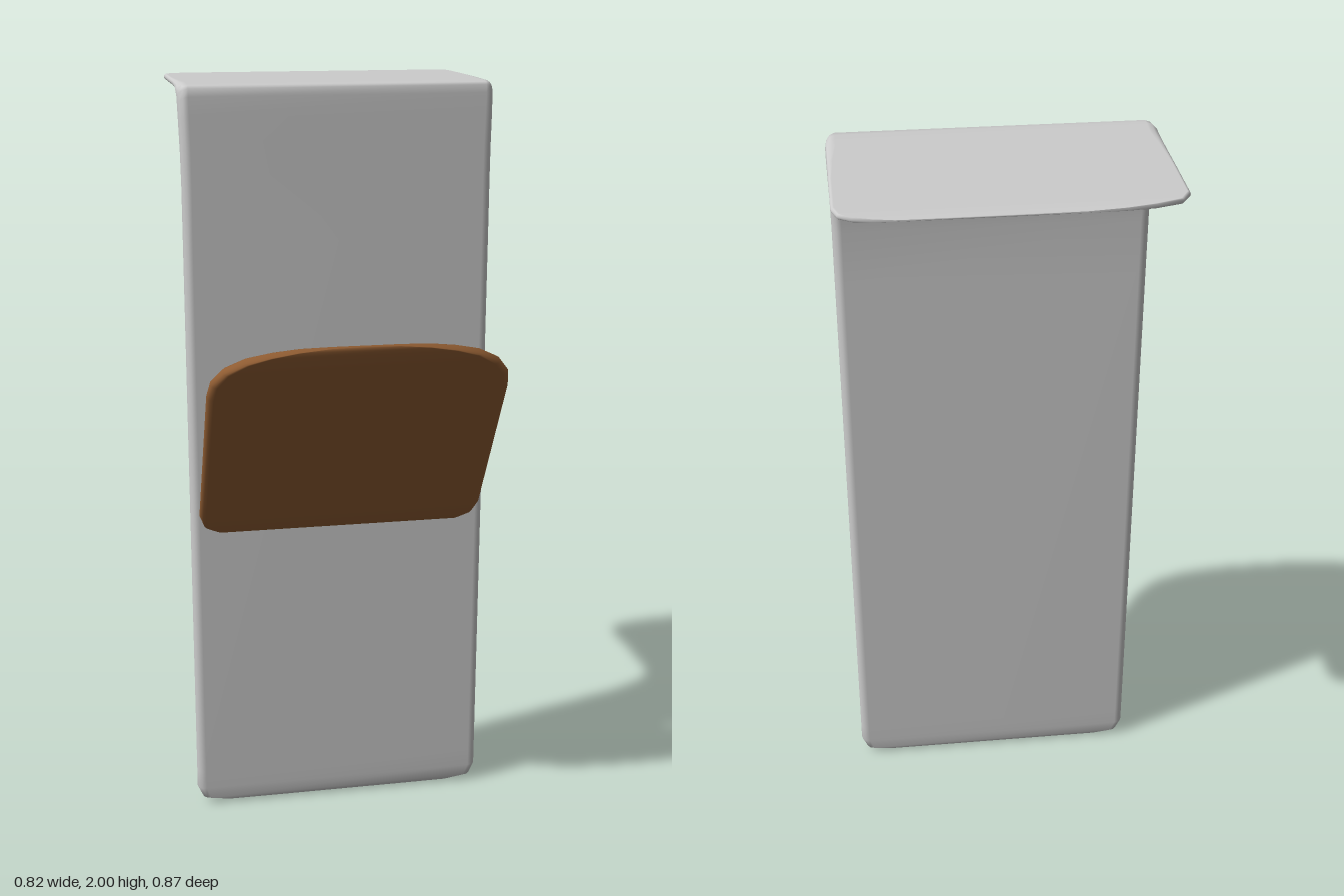
import * as THREE from 'three';

const SIDE = 6; // segments around each rounded long edge

// Lofts a slab along stations [zFront, yFront, zBack, yBack, xMin, xMax].
function loftSlab(stations) {
  const pos = [], index = [], n = 2 * (SIDE + 1);
  for (const [zf, yf, zb, yb, x0, x1] of stations) {
    const r = Math.min(Math.hypot(zf - zb, yf - yb) / 2, 0.025);
    for (const s of [1, -1]) {
      for (let k = 0; k <= SIDE; k++) {
        const a = s * Math.PI * (0.5 - k / SIDE);
        const t = (1 - Math.sin(a)) / 2;
        const edge = r * (1 - Math.cos(a));
        pos.push(s > 0 ? x1 - edge : x0 + edge, yf + (yb - yf) * t, zf + (zb - zf) * t);
      }
    }
  }
  const last = stations.length - 1;
  for (let i = 0; i < last; i++) {
    for (let j = 0; j < n; j++) {
      const k = (j + 1) % n, a = i * n, b = a + n;
      index.push(a + j, a + k, b + k, a + j, b + k, b + j);
    }
  }
  // Close both ends with a fan
  for (const i of [0, last]) {
    const [zf, yf, zb, yb, x0, x1] = stations[i];
    const c = pos.length / 3;
    pos.push((x0 + x1) / 2, (yf + yb) / 2, (zf + zb) / 2);
    for (let j = 0; j < n; j++) {
      const p = i * n + j, q = i * n + (j + 1) % n;
      index.push(c, i ? p : q, i ? q : p);
    }
  }
  const geo = new THREE.BufferGeometry();
  geo.setAttribute('position', new THREE.Float32BufferAttribute(pos, 3));
  geo.setIndex(index);
  geo.computeVertexNormals();
  return geo;
}

export function createModel() {
  const grey = new THREE.MeshStandardMaterial({ color: 0xcccccc });
  grey.name = 'light grey';
  const brown = new THREE.MeshStandardMaterial({ color: 0x8f5c32 });
  brown.name = 'wood brown';
  const model = new THREE.Group();
  model.name = 'panelStand';

  // Upright panel bending back into a thin canopy, with a fillet behind the bend
  const panel = new THREE.Mesh(loftSlab([
    [0.074, 0, 0.064, 0, -0.2, 0.2],
    [0.084, 0.006, 0.054, 0.006, -0.33, 0.33],
    [0.091, 0.018, 0.048, 0.018, -0.39, 0.39],
    [0.093, 0.05, 0.046, 0.05, -0.405, 0.405],
    [0.093, 0.1, 0.046, 0.1, -0.405, 0.405],
    [0.093, 1.6, 0.046, 1.6, -0.405, 0.405],
    [0.093, 1.75, 0.044, 1.75, -0.405, 0.405],
    [0.093, 1.84, 0.037, 1.82, -0.406, 0.406],
    [0.093, 1.92, 0.026, 1.89, -0.408, 0.408],
    [0.093, 1.97, 0.014, 1.925, -0.409, 0.409],
    [0.091, 1.99, 0.002, 1.945, -0.409, 0.409],
    [0.084, 1.997, -0.012, 1.957, -0.409, 0.409],
    [0.06, 2, -0.03, 1.967, -0.409, 0.409],
    [0, 2, -0.06, 1.976, -0.406, 0.409],
    [-0.1, 1.999, -0.12, 1.98, -0.404, 0.408],
    [-0.2, 1.998, -0.2, 1.981, -0.404, 0.408],
    [-0.365, 1.997, -0.365, 1.981, -0.404, 0.407],
    [-0.4, 1.996, -0.4, 1.982, -0.382, 0.395],
    [-0.42, 1.995, -0.42, 1.983, -0.32, 0.365],
    [-0.431, 1.993, -0.431, 1.985, -0.25, 0.32],
    [-0.437, 1.991, -0.437, 1.987, -0.16, 0.27],
  ]), grey);
  panel.name = 'panelAndCanopy';
  model.add(panel);

  // Sloping shelf: [distance along slope, half thickness, half width]
  const dz = 0.523, dy = 0.853;
  const shelf = new THREE.Mesh(loftSlab([
    [0, 0.005, 0.2],
    [0.012, 0.012, 0.33],
    [0.04, 0.016, 0.372],
    [0.08, 0.017, 0.385],
    [0.15, 0.017, 0.385],
    [0.54, 0.017, 0.385],
    [0.585, 0.017, 0.378],
    [0.625, 0.016, 0.35],
    [0.655, 0.014, 0.3],
    [0.672, 0.011, 0.24],
    [0.684, 0.008, 0.17],
    [0.69, 0.004, 0.09],
  ].map(([s, h, w]) => {
    const z = 0.073 + dz * s, y = 0.808 + dy * s;
    return [z + dy * h, y - dz * h, z - dy * h, y + dz * h, -w, w];
  })), brown);
  shelf.name = 'slopingShelf';
  model.add(shelf);

  return model;
}
